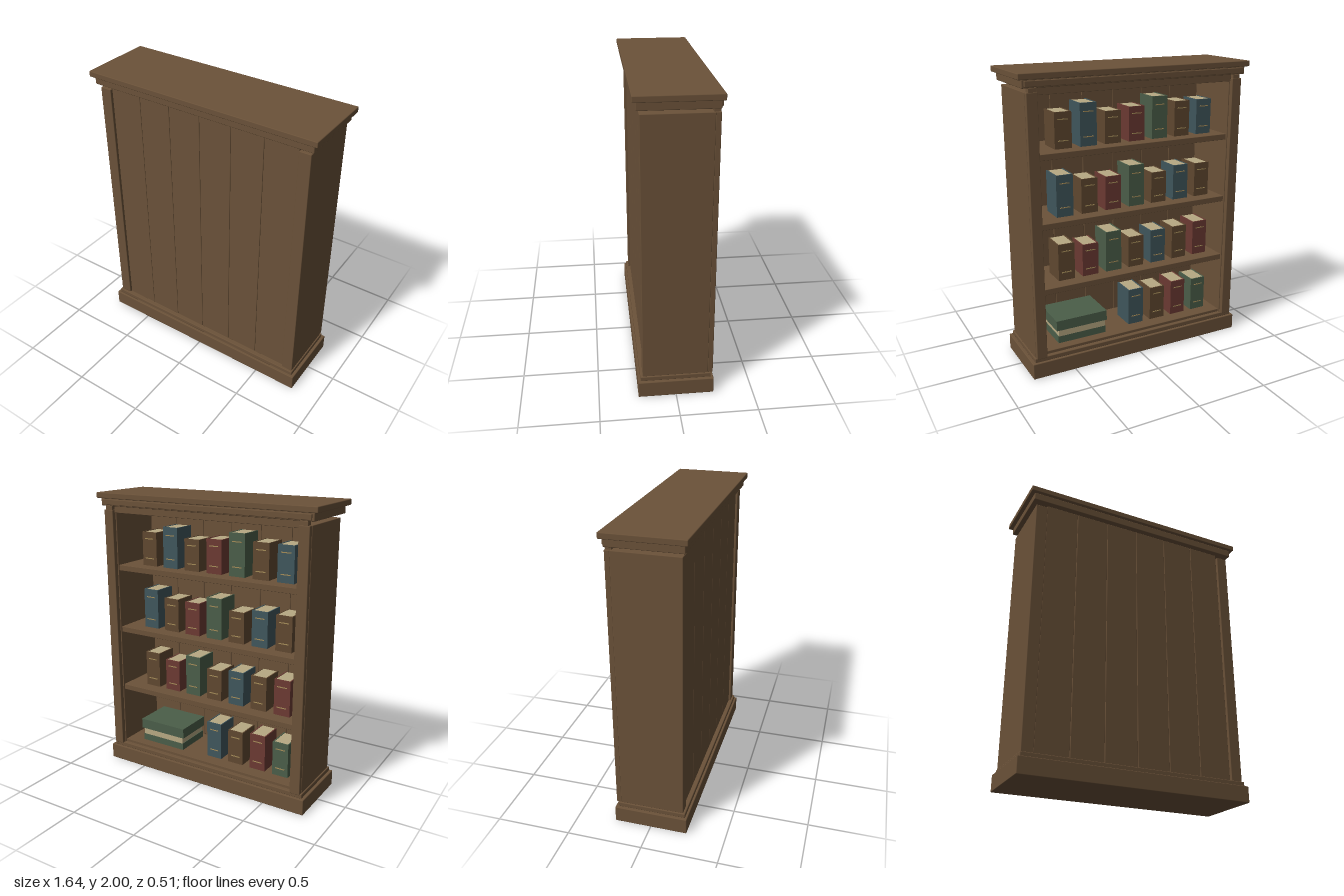
import * as THREE from 'three';
import { RoundedBoxGeometry } from 'three/addons/geometries/RoundedBoxGeometry.js';

const material = (name, color) => {
  const m = new THREE.MeshStandardMaterial({ color });
  m.name = name;
  return m;
};

export function createModel() {
  const model = new THREE.Group();
  model.name = 'bookcase';

  const wood = material('wood', 0x6b5239);
  const cream = material('paper', 0xb8a983);
  const gold = material('gilding', 0xa58c58);
  const covers = {
    brown: material('brown cloth', 0x604830),
    blue: material('blue cloth', 0x40565c),
    red: material('red cloth', 0x6c3a33),
    green: material('green cloth', 0x4b5e49),
  };

  // Box given by its limits on each axis, with an optional small bevel
  function box(parent, name, mat, [x0, x1], [y0, y1], [z0, z1], bevel = 0) {
    const size = [x1 - x0, y1 - y0, z1 - z0];
    const geo = bevel ? new RoundedBoxGeometry(...size, 1, bevel) : new THREE.BoxGeometry(...size);
    const mesh = new THREE.Mesh(geo, mat);
    mesh.name = name;
    mesh.position.set((x0 + x1) / 2, (y0 + y1) / 2, (z0 + z1) / 2);
    parent.add(mesh);
    return mesh;
  }

  // Plinth and cornice
  box(model, 'plinth', wood, [-0.8, 0.8], [0, 0.11], [-0.245, 0.245], 0.005);
  box(model, 'plinthMoulding', wood, [-0.78, 0.78], [0.108, 0.14], [-0.228, 0.23], 0.005);
  box(model, 'corniceMoulding', wood, [-0.795, 0.795], [1.91, 1.963], [-0.238, 0.235], 0.005);
  box(model, 'corniceFillet', wood, [-0.78, 0.78], [1.918, 1.955], [-0.248, -0.23], 0.004);
  box(model, 'corniceTop', wood, [-0.822, 0.822], [1.962, 2], [-0.257, 0.257], 0.005);

  // Side panels and the posts framing the opening
  for (const s of [1, -1]) {
    const side = s > 0 ? 'left' : 'right';
    const span = (a, b) => (s > 0 ? [a, b] : [-b, -a]);
    box(model, side + 'SidePanel', wood, span(0.692, 0.772), [0.138, 1.885], [-0.21, 0.215], 0.004);
    box(model, side + 'Post', wood, span(0.698, 0.77), [0.138, 1.885], [-0.242, -0.208], 0.004);
    box(model, side + 'PostTop', wood, span(0.702, 0.757), [1.88, 1.912], [-0.24, -0.2], 0.003);
  }

  // Back boards
  for (let i = 0; i < 6; i++) {
    const x = -0.69 + i * 0.23;
    box(model, 'backBoard', wood, [x + 0.001, x + 0.229], [0.138, 1.908], [0.178, 0.2], 0.003);
  }

  // Top panel, rail and shelves
  box(model, 'topPanel', wood, [-0.692, 0.692], [1.885, 1.912], [-0.2, 0.18]);
  box(model, 'topRail', wood, [-0.698, 0.698], [1.865, 1.912], [-0.222, -0.198], 0.003);
  const shelfTops = [1.5, 1.05, 0.605, 0.16];
  for (const y of shelfTops) {
    box(model, 'shelf', wood, [-0.695, 0.695], [y - 0.04, y], [-0.2, 0.18], 0.003);
  }

  // Upright book, with its spine towards -z
  function uprightBook(x, y, h, mat) {
    const g = new THREE.Group();
    g.name = 'book';
    g.position.set(x, y, -0.025);
    const w = 0.0585, d = 0.085, t = 0.008;
    box(g, 'spine', mat, [-w, w], [0, h], [-d, -d + t]);
    for (const s of [1, -1]) {
      box(g, 'cover', mat, s > 0 ? [w - t, w] : [-w, -w + t], [0, h], [-d + t, d]);
    }
    box(g, 'pages', cream, [-w + t, w - t], [0.004, h - 0.003], [-d + t, d - 0.005]);
    for (const f of [0.22, 0.8]) {
      box(g, 'spineBand', gold, [-0.035, 0.035], [h * f - 0.003, h * f + 0.003], [-d - 0.003, -d]);
    }
    model.add(g);
  }

  // Rows of books; cloth colours follow one cycle, shifted by one per shelf
  const cycle = ['brown', 'blue', 'brown', 'red', 'green'];
  const heights = [
    [0.235, 0.28, 0.215, 0.23, 0.285, 0.24, 0.24],
    [0.28, 0.235, 0.23, 0.285, 0.215, 0.245, 0.24],
    [0.255, 0.225, 0.285, 0.22, 0.24, 0.24, 0.25],
    [0, 0, 0, 0.265, 0.245, 0.26, 0.245],
  ];
  heights.forEach((row, r) => row.forEach((h, i) => {
    if (h) uprightBook(0.49 - 0.175 * i, shelfTops[r], h, covers[cycle[(i + r) % 5]]);
  }));

  // Large books lying flat on the bottom shelf
  const stack = new THREE.Group();
  stack.name = 'lyingBooks';
  box(stack, 'lowerBook', covers.green, [0.22, 0.575], [0.16, 0.21], [-0.135, 0.135]);
  box(stack, 'lyingPages', cream, [0.225, 0.57], [0.21, 0.255], [-0.135, 0.13]);
  box(stack, 'upperBook', covers.green, [0.212, 0.587], [0.255, 0.327], [-0.14, 0.14]);
  model.add(stack);

  return model;
}
